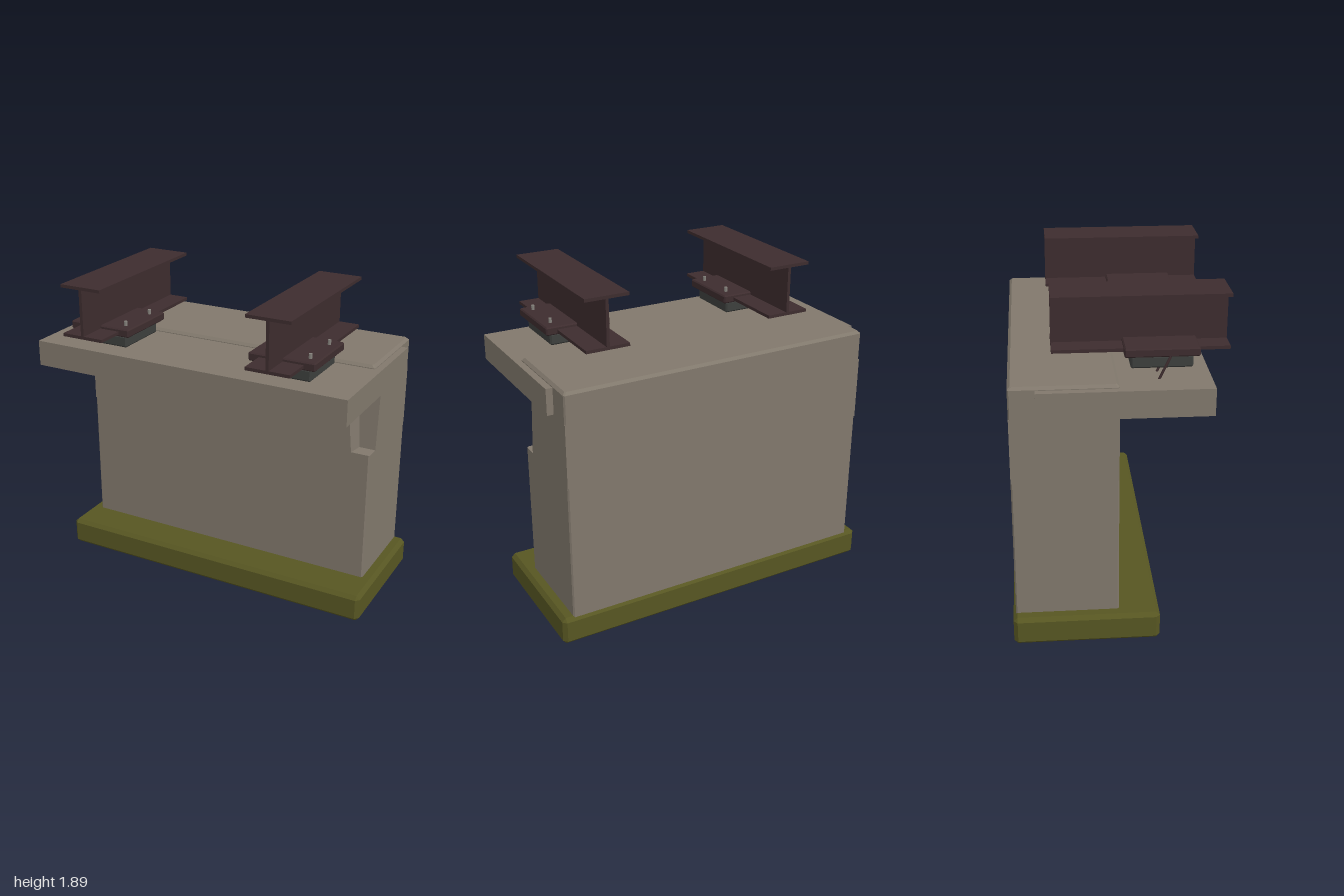
import * as THREE from 'three';
import { ConvexGeometry } from 'three/addons/geometries/ConvexGeometry.js';

const mat = (name, color) => {
  const m = new THREE.MeshStandardMaterial({ color });
  m.name = name;
  return m;
};

// Convex solid from a list of [x, y, z] corners
const hull = (pts) => new ConvexGeometry(pts.map((p) => new THREE.Vector3(...p)));

// Box between two corners with every edge chamfered by c
function chamferBox([x0, y0, z0], [x1, y1, z1], c) {
  const pts = [];
  for (const [x, sx] of [[x0, 1], [x1, -1]])
    for (const [y, sy] of [[y0, 1], [y1, -1]])
      for (const [z, sz] of [[z0, 1], [z1, -1]])
        pts.push([x, y + sy * c, z + sz * c], [x + sx * c, y, z + sz * c], [x + sx * c, y + sy * c, z]);
  return hull(pts);
}

// Rectangle with clipped corners at height y
function clippedRect(x0, x1, z0, z1, y, c) {
  const pts = [];
  for (const [x, sx] of [[x0, 1], [x1, -1]])
    for (const [z, sz] of [[z0, 1], [z1, -1]]) pts.push([x + sx * c, y, z], [x, y, z + sz * c]);
  return pts;
}

export function createModel() {
  const model = new THREE.Group();
  model.name = 'bridgeAbutment';
  const concrete = mat('concrete', 0x81786c);
  const olive = mat('olive footing', 0x575622);
  const steel = mat('maroon steel', 0x3d2c2e);
  const rubber = mat('dark rubber', 0x3d3f3d);
  const bolt = mat('bolt grey', 0x85827c);

  const add = (name, geometry, material, parent = model) => {
    const mesh = new THREE.Mesh(geometry, material);
    mesh.name = name;
    parent.add(mesh);
    return mesh;
  };

  // Footing
  add('footing', chamferBox([-1, 0, -0.588], [1, 0.167, 0.215], 0.022), olive);

  // Wall: lower block, notched middle, and top block
  const X = 0.933, ZB = -0.574, ZF = -0.008, C = 0.008;
  const floorY = 0.965, ceilY = 1.33;
  add('wallLower', hull([
    ...clippedRect(-X, X, ZB, ZF, 0.08, C),
    ...clippedRect(-X, X, ZB, ZF, floorY, C),
  ]), concrete);

  // The notch in the front corner widens towards the top
  const left = [], back = [];
  for (const [y, frontX, innerX, innerZ] of [[floorY, 0.82, 0.836, -0.097], [ceilY, 0.785, 0.801, -0.13]]) {
    left.push([-X, y, ZB], [-X, y, ZF], [frontX, y, ZF], [innerX, y, innerZ], [innerX, y, ZB]);
    back.push([0.7, y, ZB], [X, y, ZB], [X, y, innerZ], [0.7, y, innerZ]);
  }
  add('wallMiddle', hull(left), concrete);
  add('wallBehindNotch', hull(back), concrete);
  add('wallTop', hull([
    ...clippedRect(-X, X, ZB, ZF, ceilY, C),
    ...clippedRect(-X, X, ZB, ZF, 1.49, C),
    ...clippedRect(-X + 0.015, X - 0.015, ZB + 0.015, ZF - 0.015, 1.505, C),
  ]), concrete);

  // Overhanging bearing shelf
  const shelf = add('bearingShelf', new THREE.BoxGeometry(1.944, 0.15, 0.91), concrete);
  shelf.position.set(-0.001, 1.411, 0.02);

  // I-beam section, used for both girders
  const w = 0.129, t = 0.009, y0 = 1.592, y1 = 1.892, f = 0.018;
  const section = new THREE.Shape([
    [-w, y0], [w, y0], [w, y0 + f], [t, y0 + f], [t, y1 - f], [w, y1 - f],
    [w, y1], [-w, y1], [-w, y1 - f], [-t, y1 - f], [-t, y0 + f], [-w, y0 + f],
  ].map(([x, y]) => new THREE.Vector2(x, y)));
  const girderGeo = new THREE.ExtrudeGeometry(section, { depth: 0.934, bevelEnabled: false });
  const plateGeo = chamferBox([-0.194, 1.58, 0.03], [0.194, 1.628, 0.423], 0.007);
  const padGeo = chamferBox([-0.158, 1.507, 0.065], [0.158, 1.575, 0.392], 0.009);
  const boltGeo = new THREE.CylinderGeometry(0.01, 0.01, 0.05, 8);

  for (const [name, x] of [['right', -0.572], ['left', 0.57]]) {
    const g = new THREE.Group();
    g.name = name + 'Girder';
    g.position.x = x;
    model.add(g);
    add('iBeam', girderGeo, steel, g).position.z = -0.345;
    add('solePlate', plateGeo, steel, g);
    add('bearingPad', padGeo, rubber, g);
    for (const z of [0.107, 0.357]) add('anchorBolt', boltGeo, bolt, g).position.set(0.137, 1.63, z);
  }

  // Bent steel rods standing out of the shelf
  for (const [a, b] of [
    [[-0.822, 1.48, 0.2], [-0.804, 1.6, 0.262]],
    [[-0.717, 1.48, 0.2], [-0.711, 1.515, 0.218]],
  ]) {
    const p = new THREE.Vector3(...a), q = new THREE.Vector3(...b);
    const rod = add('exposedRod', new THREE.CylinderGeometry(0.007, 0.007, p.distanceTo(q), 6), steel);
    rod.position.copy(p).lerp(q, 0.5);
    rod.quaternion.setFromUnitVectors(new THREE.Vector3(0, 1, 0), q.sub(p).normalize());
  }
  return model;
}
